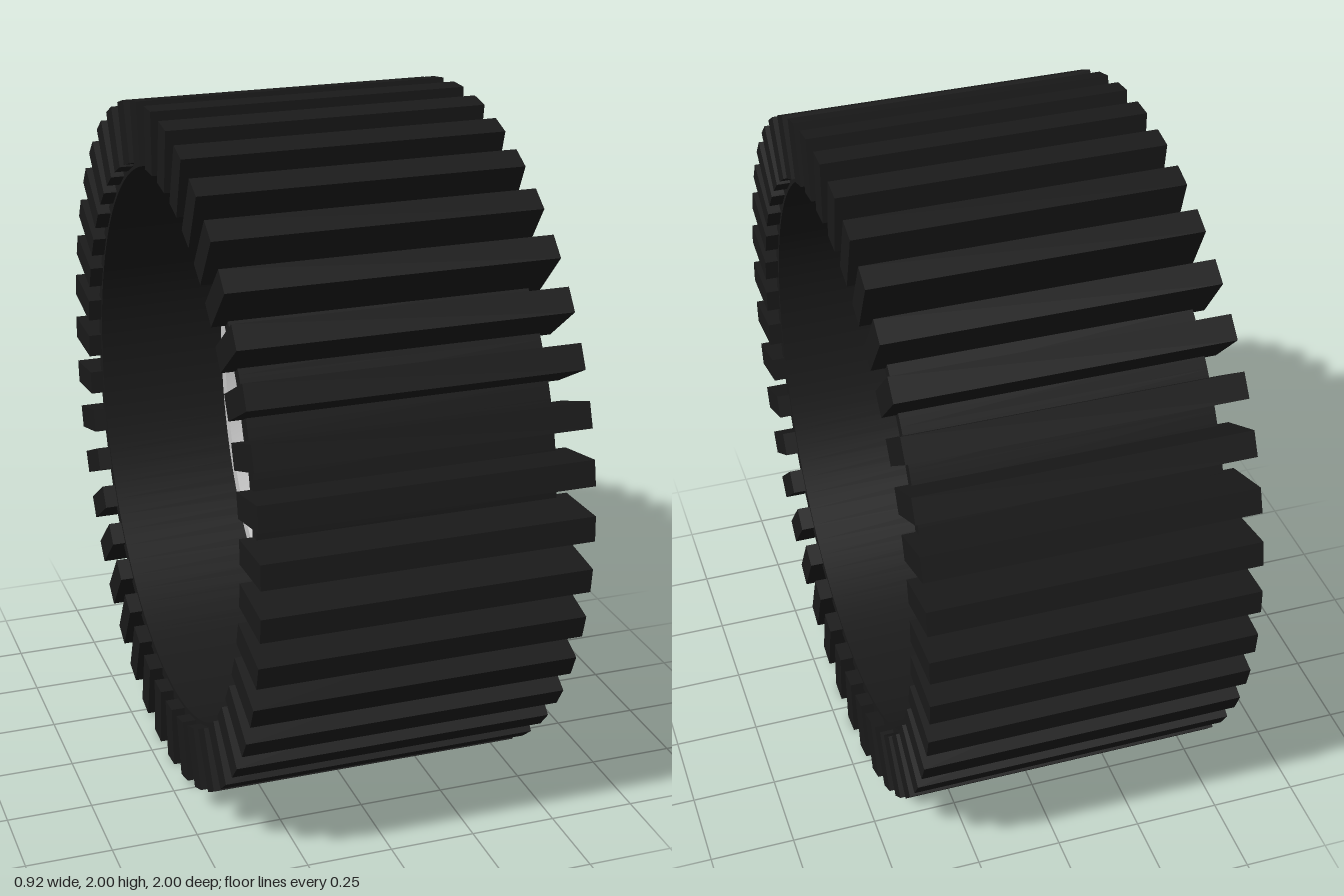
import * as THREE from 'three';
import { toCreasedNormals } from 'three/addons/utils/BufferGeometryUtils.js';

const black = new THREE.MeshStandardMaterial({ color: 0x1a1a1a });
const grey = new THREE.MeshStandardMaterial({ color: 0xcccccc });
const greyFlat = new THREE.MeshStandardMaterial({ color: 0xcccccc, flatShading: true });

function add(parent, name, geometry, material) {
  const mesh = new THREE.Mesh(geometry, material);
  mesh.name = name;
  parent.add(mesh);
  return mesh;
}

// Extrudes a shape symmetrically about the wheel's middle plane
function slab(shape, depth, curveSegments = 12) {
  const g = new THREE.ExtrudeGeometry(shape, { depth, curveSegments, bevelEnabled: false });
  return g.translate(0, 0, -depth / 2);
}

function ring(outer, inner, depth) {
  const shape = new THREE.Shape().absarc(0, 0, outer, 0, Math.PI * 2);
  shape.holes.push(new THREE.Path().absarc(0, 0, inner, 0, Math.PI * 2, true));
  return toCreasedNormals(slab(shape, depth, 48), 0.6);
}

// Strip of constant width following a centre line
function strip(points, width) {
  const p = points.map(([x, y]) => new THREE.Vector2(x, y));
  const left = [], right = [];
  p.forEach((c, i) => {
    const t = p[Math.min(i + 1, p.length - 1)].clone().sub(p[Math.max(i - 1, 0)]).normalize();
    const n = new THREE.Vector2(-t.y, t.x).multiplyScalar(width / 2);
    left.push(c.clone().add(n));
    right.unshift(c.clone().sub(n));
  });
  return new THREE.Shape([...left, ...right]);
}

// Three curved spokes, from hub to rim; the other three are half a turn away
const SPOKES = [
  [[-0.02, 0.15], [-0.03, 0.19], [-0.067, 0.292], [-0.118, 0.354], [-0.214, 0.426], [-0.311, 0.464], [-0.44, 0.493], [-0.605, 0.501]],
  [[-0.12, 0.085], [-0.155, 0.105], [-0.241, 0.142], [-0.338, 0.155], [-0.445, 0.131], [-0.531, 0.083], [-0.649, -0.008], [-0.767, -0.105]],
  [[-0.13, -0.055], [-0.166, -0.072], [-0.241, -0.121], [-0.322, -0.212], [-0.365, -0.351], [-0.365, -0.485], [-0.349, -0.582], [-0.322, -0.705]],
];

export function createModel() {
  const model = new THREE.Group();
  model.name = 'wheel';

  // Built in the XY plane, then turned so the axle runs along x
  const wheel = new THREE.Group();
  wheel.name = 'wheelAssembly';
  wheel.position.y = 1;
  wheel.rotation.y = Math.PI / 2;
  model.add(wheel);

  // Tyre: a plain band with protruding cross lugs
  add(wheel, 'tyreBand', ring(0.845, 0.81, 0.84), black);
  const treads = new THREE.Group();
  treads.name = 'treadLugs';
  wheel.add(treads);
  const lugGeometry = new THREE.BoxGeometry(0.071, 0.18, 0.92).translate(0, 0.91, 0);
  const count = 41;
  for (let i = 0; i < count; i++) {
    add(treads, 'treadLug', lugGeometry, black).rotation.z = (i / count) * Math.PI * 2;
  }

  // Rim, hub and curved spokes
  add(wheel, 'rim', ring(0.812, 0.768, 0.04), grey);
  add(wheel, 'hub', new THREE.CylinderGeometry(0.186, 0.186, 0.11, 14).rotateX(Math.PI / 2), greyFlat);
  for (const points of SPOKES) {
    const geometry = slab(strip(points, 0.042), 0.04);
    for (const turn of [0, Math.PI]) add(wheel, 'spoke', geometry, greyFlat).rotation.z = turn;
  }
  return model;
}
